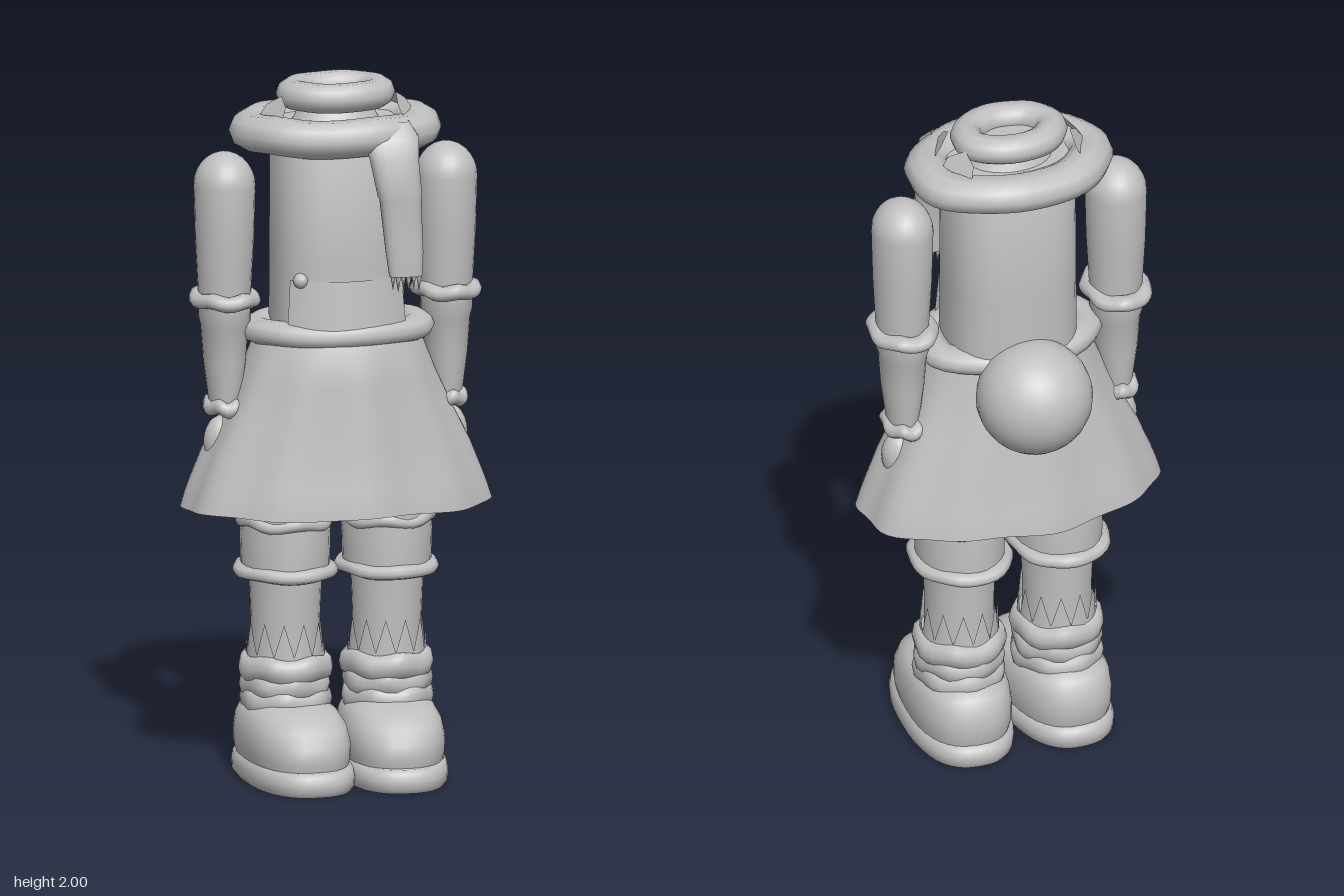
import * as THREE from 'three';
import { toCreasedNormals } from 'three/addons/utils/BufferGeometryUtils.js';

const clay = new THREE.MeshStandardMaterial({ color: 0xc0c0c0, side: THREE.DoubleSide });
clay.name = 'clay grey';

// Stacks elliptical sections from bottom to top; fold ripples a section, zig makes pointed edges.
function loft(rows, { n = 32, folds = 9, power = 2, crease = 0.8, phase = 0 } = {}) {
  const pos = [], index = [];
  const bend = v => Math.sign(v) * Math.abs(v) ** (2 / power);
  for (const { y, rx, rz = rx, cx = 0, cz = 0, fold = 0, zig = 0, sag = 0 } of rows) {
    for (let j = 0; j < n; j++) {
      const a = (j / n) * Math.PI * 2;
      const w = fold * (Math.sin(a * folds + phase) + 0.5 * Math.sin(a * (folds - 4) + 1 + phase));
      const tooth = zig * (1 - Math.abs((j % 4) - 2) / 2);
      pos.push(cx + (rx + w) * bend(Math.sin(a)), y + tooth + sag * Math.sin(a * 5 + phase), cz + (rz + w) * bend(Math.cos(a)));
    }
  }
  for (let i = 0; i < rows.length - 1; i++) {
    for (let j = 0; j < n; j++) {
      const k = (j + 1) % n, a = i * n + j, b = i * n + k;
      index.push(a, b, b + n, a, b + n, a + n);
    }
  }
  const geo = new THREE.BufferGeometry();
  geo.setAttribute('position', new THREE.Float32BufferAttribute(pos, 3));
  geo.setIndex(index);
  return toCreasedNormals(geo, crease);
}

// Padded elliptical band; rx and rz are measured to its outer face.
function band(y, rx, rz, t, ty, { cz = 0, fold = 0.003, sag = 0.003, phase = 0, n = 32 } = {}) {
  const rows = [];
  for (let i = 0; i <= 10; i++) {
    const a = (i / 10) * Math.PI * 2;
    const out = t * (Math.cos(a) - 1);
    rows.push({ y: y + ty * Math.sin(a), rx: rx + out, rz: rz + out, cz, fold, sag });
  }
  return loft(rows, { n, folds: 7, phase, crease: 1.2 });
}

function add(parent, name, geo, x = 0, y = 0, z = 0) {
  const mesh = new THREE.Mesh(geo, clay);
  mesh.name = name;
  mesh.position.set(x, y, z);
  parent.add(mesh);
  return mesh;
}

function buildArm(side) {
  const arm = new THREE.Group();
  arm.name = side > 0 ? 'leftArm' : 'rightArm';
  arm.position.x = side * 0.321;
  // Sleeve with a domed shoulder
  const sleeve = [{ y: 1.38, rx: 0 }, { y: 1.38, rx: 0.074, rz: 0.082 }, { y: 1.55, rx: 0.083, rz: 0.094 }];
  for (let i = 0; i <= 7; i++) {
    const a = (i / 7) * Math.PI / 2;
    sleeve.push({ y: 1.705 + 0.095 * Math.sin(a), rx: 0.087 * Math.cos(a), rz: 0.098 * Math.cos(a) });
  }
  add(arm, 'sleeve', loft(sleeve, { n: 24 }));
  add(arm, 'elbowCuff', band(1.38, 0.1, 0.128, 0.03, 0.022, { phase: side, sag: 0.004 }));
  add(arm, 'forearm', loft([
    { y: 1.07, rx: 0 }, { y: 1.07, rx: 0.043, rz: 0.06 }, { y: 1.2, rx: 0.06, rz: 0.076 },
    { y: 1.3, rx: 0.067, rz: 0.084 }, { y: 1.32, rx: 0.073, rz: 0.092 }, { y: 1.38, rx: 0.072, rz: 0.09 },
  ], { n: 24 }));
  add(arm, 'wristCuff', band(1.07, 0.06, 0.092, 0.022, 0.022, { phase: side, sag: 0.006 }));
  // Hand mostly tucked into the skirt
  const hand = add(arm, 'hand', new THREE.SphereGeometry(1, 16, 12), side * 0.006, 0.965, 0);
  hand.scale.set(0.055, 0.075, 0.048);
  return arm;
}

function buildLeg(side) {
  const leg = new THREE.Group();
  leg.name = side > 0 ? 'leftLeg' : 'rightLeg';
  leg.position.x = side * 0.147;
  // Shin and padded knee
  add(leg, 'shin', loft([
    { y: 0.3, rx: 0.1, rz: 0.105 }, { y: 0.45, rx: 0.098, rz: 0.106 }, { y: 0.62, rx: 0.105, rz: 0.113 },
  ], { n: 24 }), 0, 0, 0.008);
  add(leg, 'thigh', loft([
    { y: 0.59, rx: 0.09 }, { y: 0.6, rx: 0.125, rz: 0.145 }, { y: 0.7, rx: 0.128, rz: 0.145 },
    { y: 0.77, rx: 0.12, rz: 0.14 }, { y: 0.9, rx: 0.11, rz: 0.13 }, { y: 0.9, rx: 0 },
  ], { n: 24 }), 0, 0, 0.006);
  add(leg, 'kneeCuff', band(0.592, 0.148, 0.176, 0.04, 0.021, { cz: 0.006, phase: side, sag: 0.002 }));
  add(leg, 'thighFrill', band(0.735, 0.137, 0.152, 0.025, 0.02, { cz: 0.006, phase: side + 2, sag: 0.006 }));
  // Pointed sock trim rising above the boot
  add(leg, 'sockTrim', loft([
    { y: 0.33, rx: 0.112, rz: 0.118 }, { y: 0.355, rx: 0.11, rz: 0.116, zig: 0.095 },
  ], { n: 48 }), 0, 0, 0.008);
  // Slouched boot shaft
  [[0.315, 0.133, 0.14, 0.038], [0.265, 0.128, 0.134, 0.04], [0.22, 0.13, 0.142, 0.038]].forEach(([y, rx, rz, ty], i) =>
    add(leg, 'bootShaftFold', band(y, rx, rz, 0.025, ty, { cz: 0.01, phase: i * 2 + side, sag: 0.005 })));
  add(leg, 'bootShaft', loft([{ y: 0.1, rx: 0.12, rz: 0.126 }, { y: 0.335, rx: 0.12, rz: 0.126 }, { y: 0.345, rx: 0.095 }], { n: 24 }), 0, 0, 0.01);

  // Rounded foot and padded sole, toes turned slightly inward
  const boot = new THREE.Group();
  boot.name = 'boot';
  boot.rotation.y = -side * 0.06;
  leg.add(boot);
  add(boot, 'bootFoot', loft([
    { y: 0.05, rx: 0.136, rz: 0.25, cz: 0.075 }, { y: 0.09, rx: 0.145, rz: 0.262, cz: 0.074 },
    { y: 0.13, rx: 0.145, rz: 0.259, cz: 0.072 }, { y: 0.17, rx: 0.138, rz: 0.243, cz: 0.062 },
    { y: 0.2, rx: 0.122, rz: 0.207, cz: 0.045 }, { y: 0.218, rx: 0.09, rz: 0.15, cz: 0.025 }, { y: 0.225, rx: 0 },
  ], { n: 36, power: 2.5, crease: 1.2 }));
  add(boot, 'bootSole', loft([
    { y: 0, rx: 0, cz: 0.085 }, { y: 0, rx: 0.142, rz: 0.275, cz: 0.085 }, { y: 0.012, rx: 0.15, rz: 0.284, cz: 0.085 },
    { y: 0.036, rx: 0.151, rz: 0.286, cz: 0.085 }, { y: 0.056, rx: 0.147, rz: 0.278, cz: 0.085 },
    { y: 0.066, rx: 0.138, rz: 0.264, cz: 0.085 }, { y: 0.066, rx: 0, cz: 0.085 },
  ], { n: 40, power: 2.5 }));
  return leg;
}

function buildScarf() {
  const scarf = new THREE.Group();
  scarf.name = 'scarf';
  add(scarf, 'scarfLoop', band(1.858, 0.303, 0.233, 0.065, 0.054, { cz: 0.005, n: 40 }));
  // Hanging end with knitted creases
  add(scarf, 'scarfEnd', loft([
    { y: 1.47, rx: 0, cx: 0.15, cz: 0.238 }, { y: 1.47, rx: 0.048, rz: 0.026, cx: 0.15, cz: 0.238 },
    { y: 1.54, rx: 0.054, rz: 0.03, cx: 0.146, cz: 0.236 }, { y: 1.69, rx: 0.06, rz: 0.033, cx: 0.136, cz: 0.228 },
    { y: 1.7, rx: 0.064, rz: 0.036, cx: 0.135, cz: 0.226 }, { y: 1.8, rx: 0.07, rz: 0.038, cx: 0.122, cz: 0.214 },
    { y: 1.86, rx: 0.08, rz: 0.042, cx: 0.118, cz: 0.188 }, { y: 1.9, rx: 0.06, rz: 0.02, cx: 0.115, cz: 0.165 },
  ], { n: 20, power: 2.6, crease: 1 }));
  for (let i = 0; i < 6; i++) {
    const tassel = new THREE.ConeGeometry(0.009, 0.05, 6);
    tassel.rotateX(Math.PI);
    add(scarf, 'tassel', tassel, 0.113 + i * 0.015, 1.452 - (i % 2) * 0.006, 0.236);
  }
  return scarf;
}

export function createModel() {
  const model = new THREE.Group();
  model.name = 'figure';
  const body = new THREE.Group();
  body.name = 'body';
  body.position.x = -0.012;
  model.add(body);

  // Torso and neck
  add(body, 'torso', loft([
    { y: 1.2, rx: 0.188, rz: 0.177 }, { y: 1.5, rx: 0.186, rz: 0.177 },
    { y: 1.85, rx: 0.184, rz: 0.175 }, { y: 1.885, rx: 0.17, rz: 0.16 }, { y: 1.885, rx: 0 },
  ], { n: 40, power: 2.6 }), 0, 0, 0.01);
  add(body, 'neckRing', band(1.958, 0.17, 0.136, 0.046, 0.042, { cz: 0.003, fold: 0.001, sag: 0.001 }));
  add(body, 'neck', loft([{ y: 1.87, rx: 0.13, rz: 0.1 }, { y: 1.95, rx: 0.09, rz: 0.06 }, { y: 1.95, rx: 0 }]));

  // Ragged leaves between neck and scarf
  const leaf = new THREE.Shape([[-0.06, -0.04], [0.06, -0.03], [0.045, 0.02], [0, 0.05], [-0.05, 0.015]].map(p => new THREE.Vector2(...p)));
  for (const [x, z] of [[-0.19, 0.055], [-0.19, -0.055], [0.185, 0.07], [0.175, -0.07]]) {
    const plate = add(body, 'collarLeaf', new THREE.ShapeGeometry(leaf), x, 1.92, z);
    plate.rotation.set(-0.55, Math.atan2(x, z * 1.3), 0, 'YXZ');
  }
  body.add(buildScarf());

  // Curved bib pocket and its button
  const bib = new THREE.CylinderGeometry(0.245, 0.26, 0.15, 20, 1, true, -0.72, 1.44);
  add(body, 'bibPocket', bib, 0, 1.375, -0.05);
  add(body, 'bibButton', new THREE.SphereGeometry(0.022, 12, 8), -0.135, 1.45, 0.152);

  // Belt, pleated skirt and lining
  add(body, 'belt', band(1.288, 0.28, 0.203, 0.05, 0.036, { cz: 0.022, fold: 0.002, sag: 0.002 }));
  add(body, 'skirt', loft([
    { y: 0.778, rx: 0.442, rz: 0.268, cz: 0.008, fold: 0.007, sag: 0.004 },
    { y: 0.82, rx: 0.429, rz: 0.263, cz: 0.009, fold: 0.007 },
    { y: 0.86, rx: 0.414, rz: 0.254, cz: 0.01, fold: 0.007 },
    { y: 0.95, rx: 0.378, rz: 0.24, cz: 0.012, fold: 0.006 },
    { y: 1.05, rx: 0.328, rz: 0.225, cz: 0.015, fold: 0.005 },
    { y: 1.15, rx: 0.282, rz: 0.21, cz: 0.02, fold: 0.003 },
    { y: 1.26, rx: 0.24, rz: 0.197, cz: 0.022 }, { y: 1.31, rx: 0.22, rz: 0.175, cz: 0.015 },
  ], { n: 84, folds: 10, phase: 0.4, crease: 1.2 }));
  add(body, 'skirtLining', loft([
    { y: 0.8, rx: 0.42, rz: 0.248, cz: 0.008, fold: 0.007, sag: 0.008 },
    { y: 0.95, rx: 0.362, rz: 0.224, cz: 0.012, fold: 0.006 }, { y: 1.22, rx: 0.235, rz: 0.185, cz: 0.02 },
  ], { n: 84, folds: 10, phase: 0.4, crease: 1.2 }));

  // Round tail
  add(body, 'tail', new THREE.SphereGeometry(0.166, 24, 18), 0, 1.205, -0.207);

  for (const side of [1, -1]) body.add(buildArm(side), buildLeg(side));
  return model;
}
